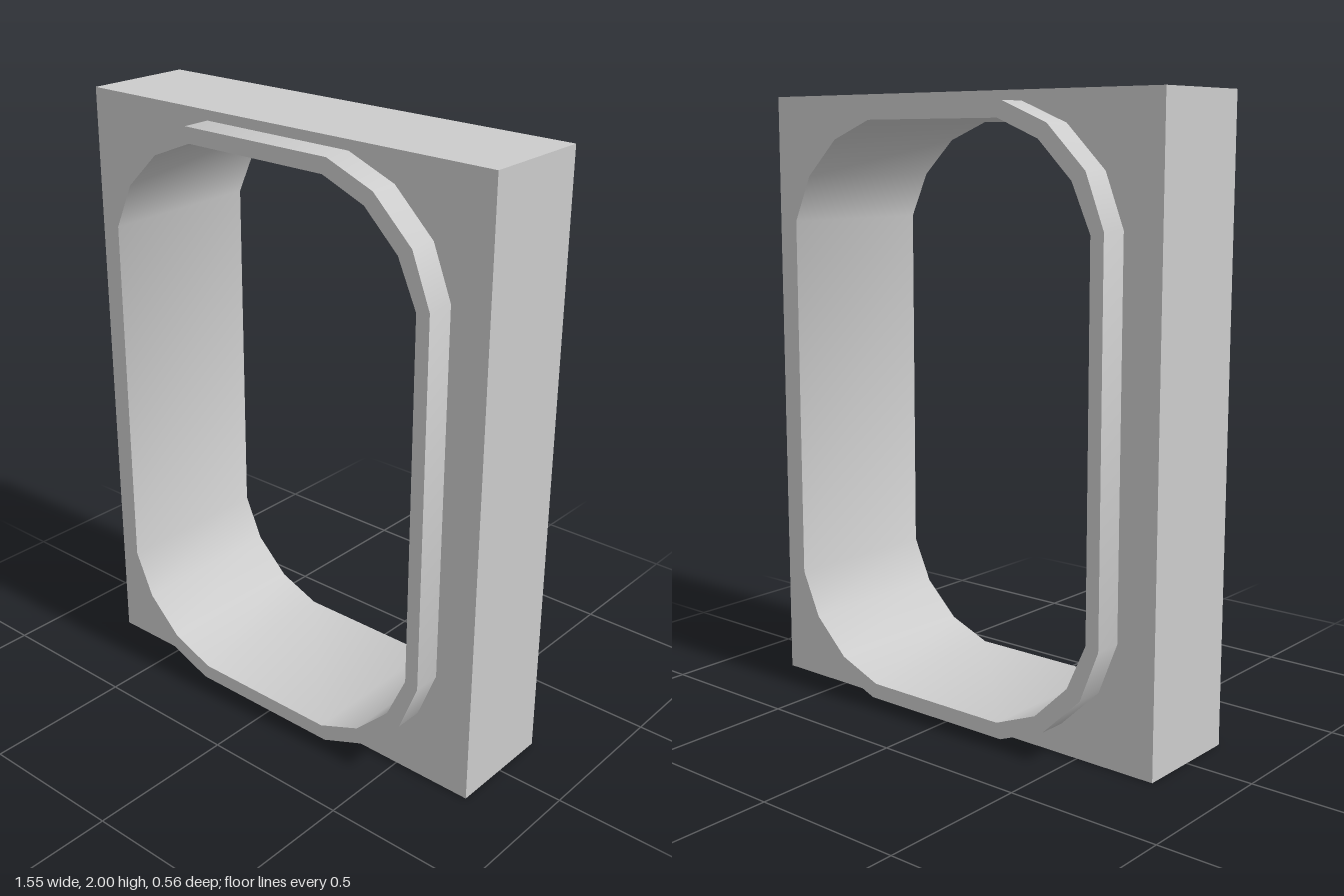
import * as THREE from 'three';
import { toCreasedNormals } from 'three/addons/utils/BufferGeometryUtils.js';

// Corner points of one quarter, relative to the opening's centre
const OUTER = [[0.643, 0.605], [0.578, 0.77], [0.44, 0.903], [0.275, 0.968]];
const INNER = [[0.597, 0.595], [0.53, 0.742], [0.41, 0.858], [0.26, 0.918]];

// Mirror a quarter into a closed counter-clockwise outline
function outline(quarter) {
  const flipped = [...quarter].reverse();
  return [
    ...quarter,
    ...flipped.map(([x, y]) => [-x, y]),
    ...quarter.map(([x, y]) => [-x, -y]),
    ...flipped.map(([x, y]) => [x, -y]),
  ].map(([x, y]) => new THREE.Vector2(x, y));
}

// Extrude an outline with a hole, centred on z = 0 and standing on y = 0
function frameMesh(name, outer, hole, depth) {
  const shape = new THREE.Shape(outer);
  shape.holes.push(new THREE.Path(hole));
  const extruded = new THREE.ExtrudeGeometry(shape, { depth, bevelEnabled: false });
  extruded.translate(0, 1, -depth / 2);
  const mesh = new THREE.Mesh(
    toCreasedNormals(extruded, Math.PI / 4),
    new THREE.MeshStandardMaterial({ color: 0xcccccc })
  );
  mesh.name = name;
  return mesh;
}

export function createModel() {
  const model = new THREE.Group();
  model.name = 'framedOpening';

  // Rectangular block; its hole lies inside the wall of the sleeve
  const block = [[0.775, 1], [-0.775, 1], [-0.775, -1], [0.775, -1]]
    .map(([x, y]) => new THREE.Vector2(x, y));
  const middle = OUTER.map(([x, y], i) => [(x + INNER[i][0]) / 2, (y + INNER[i][1]) / 2]);
  model.add(frameMesh('outerBlock', block, outline(middle), 0.37));

  // Thin rounded sleeve lining the opening and standing proud on both sides
  model.add(frameMesh('innerSleeve', outline(OUTER), outline(INNER), 0.56));

  return model;
}
